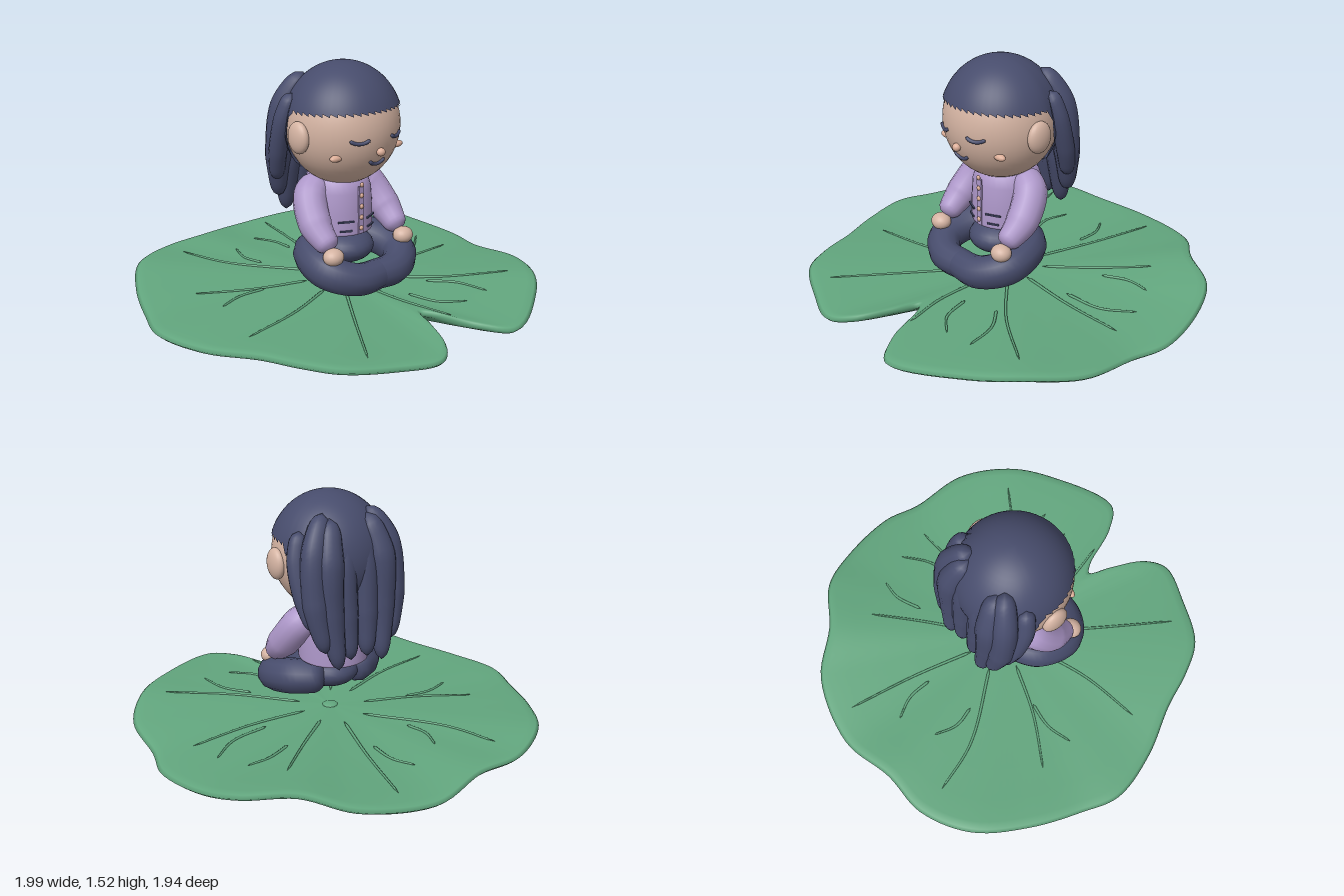
import * as THREE from 'three';
import { mergeVertices } from 'three/addons/utils/BufferGeometryUtils.js';

const mat = (name, color) => Object.assign(new THREE.MeshStandardMaterial({ color }), { name });
const M = {
  leaf: mat('leaf green', 0x62a67e),
  navy: mat('navy', 0x474c6c),
  lilac: mat('lilac', 0xae98ca),
  skin: mat('skin', 0xd4b3a2),
  peach: mat('peach', 0xdcae98),
};
M.navy.side = THREE.DoubleSide;

const V = (x, y, z) => new THREE.Vector3(x, y, z);

function add(parent, name, geometry, material) {
  const mesh = new THREE.Mesh(geometry, material);
  mesh.name = name;
  parent.add(mesh);
  return mesh;
}

function smooth(g) {
  g.deleteAttribute('uv');
  g.deleteAttribute('normal');
  g = mergeVertices(g, 1e-5);
  g.computeVertexNormals();
  return g;
}

// Rounded tube through [x, y, z, radius] points; cap = share of the length rounded off at each end
function sweep(pts, cap = 0.12, segs = 28, sides = 14) {
  const curve = new THREE.CatmullRomCurve3(pts.map(p => V(p[0], p[1], p[2])));
  const g = new THREE.TubeGeometry(curve, segs, 1, sides);
  const pos = g.attributes.position, v = V(0, 0, 0);
  for (let i = 0; i <= segs; i++) {
    const u = i / segs, c = curve.getPointAt(u);
    const k = curve.getUtoTmapping(u) * (pts.length - 1);
    const a = Math.min(Math.floor(k), pts.length - 2);
    const e = Math.min(1, Math.min(u, 1 - u) / cap);
    const r = THREE.MathUtils.lerp(pts[a][3], pts[a + 1][3], k - a) * Math.sqrt(Math.max(0, 1 - (1 - e) ** 2));
    for (let j = 0; j <= sides; j++) {
      const n = i * (sides + 1) + j;
      v.fromBufferAttribute(pos, n).sub(c).multiplyScalar(r).add(c);
      pos.setXYZ(n, v.x, v.y, v.z);
    }
  }
  return smooth(g);
}

function ball(parent, name, material, [x, y, z], [rx, ry, rz], seg = 24) {
  const m = add(parent, name, new THREE.SphereGeometry(1, seg, Math.ceil(seg * 0.7)), material);
  m.position.set(x, y, z);
  m.scale.set(rx, ry, rz);
  return m;
}

// Leaf rim as [x, z, height]
const CX = 0.02, CZ = 0.03, TOP = 0.405;
const RIM = [
  [0.99, -0.08, 0.37], [0.955, 0.11, 0.37], [0.94, 0.4, 0.4], [0.8, 0.64, 0.43], [0.62, 0.8, 0.42], [0.28, 0.965, 0.4],
  [0.165, 0.855, 0.41], [0.07, 0.64, 0.42], [0.03, 0.6, 0.42], [-0.02, 0.72, 0.42], [-0.1, 0.89, 0.41], [-0.2, 0.96, 0.4],
  [-0.4, 0.9, 0.41], [-0.62, 0.79, 0.43], [-0.72, 0.64, 0.43], [-0.8, 0.45, 0.42], [-0.93, 0.21, 0.4], [-1, -0.05, 0.4],
  [-0.945, -0.25, 0.4], [-0.85, -0.5, 0.42], [-0.69, -0.75, 0.44], [-0.45, -0.89, 0.42], [-0.21, -0.91, 0.42],
  [0.08, -0.98, 0.39], [0.43, -0.89, 0.42], [0.62, -0.7, 0.455], [0.83, -0.56, 0.44], [0.93, -0.37, 0.4],
];
const N = 196;
const rim = new THREE.CatmullRomCurve3(RIM.map(([x, z, h]) => V(x, h, z)), true).getPoints(N).slice(0, N);

function leafTop(x, z) {
  const a = Math.atan2(z - CZ, x - CX);
  let best = 9, y = TOP;
  for (const p of rim) {
    let d = Math.abs(Math.atan2(p.z - CZ, p.x - CX) - a);
    d = Math.min(d, Math.PI * 2 - d);
    if (d < best) {
      best = d;
      y = TOP + (p.y - TOP) * (Math.hypot(x - CX, z - CZ) / Math.hypot(p.x - CX, p.z - CZ)) ** 2;
    }
  }
  return y;
}

// Closed lens of scaled rims: across the top, round the edge, back underneath
function leafGeometry() {
  const profile = [[0.001, 0], [0.25, 0], [0.5, 0], [0.7, 0], [0.85, 0], [0.95, 0], [0.985, -0.005], [1, -0.018],
    [0.985, -0.033], [0.93, -0.042], [0.8, -0.058], [0.6, -0.08], [0.4, -0.1], [0.25, -0.108], [0.001, -0.11]];
  const pos = [], index = [];
  profile.forEach(([f, dy], i) => rim.forEach((p, j) => {
    pos.push(CX + (p.x - CX) * f, TOP + (p.y - TOP) * f * f + dy, CZ + (p.z - CZ) * f);
    if (i === profile.length - 1) return;
    const k = (j + 1) % N, a = i * N + j, b = i * N + k;
    index.push(a, b + N, a + N, a, b, b + N);
  }));
  const g = new THREE.BufferGeometry();
  g.setAttribute('position', new THREE.Float32BufferAttribute(pos, 3));
  g.setIndex(index);
  g.computeVertexNormals();
  return g;
}

function buildLeaf(root) {
  const leaf = new THREE.Group();
  leaf.name = 'lilyPad';
  root.add(leaf);
  add(leaf, 'pad', leafGeometry(), M.leaf);
  add(leaf, 'stem', sweep([[-0.085, 0, -0.03, 0.026], [-0.06, 0.12, -0.01, 0.032], [-0.02, 0.235, 0.01, 0.042],
    [0, 0.265, 0.02, 0.024], [0.02, 0.34, 0.03, 0.055]], 0.02), M.leaf);
  ball(leaf, 'padCentre', M.leaf, [CX, TOP, CZ], [0.04, 0.012, 0.04], 12);
  // Veins: start, middle, end as x, z pairs
  const veins = [
    [0.06, -0.17, 0.14, -0.5, 0.2, -0.85], [-0.06, -0.15, -0.33, -0.48, -0.43, -0.74], [0.15, -0.1, 0.35, -0.28, 0.55, -0.48],
    [-0.14, -0.04, -0.4, -0.13, -0.66, -0.27], [-0.14, 0.1, -0.42, 0.21, -0.72, 0.27], [-0.06, 0.16, -0.26, 0.46, -0.46, 0.77],
    [0.04, 0.2, 0.06, 0.48, 0.12, 0.71], [0.14, 0.13, 0.4, 0.37, 0.7, 0.56], [0.17, 0.03, 0.48, 0.05, 0.78, 0.03],
    [0.41, -0.01, 0.6, -0.04, 0.74, -0.15], [0.42, -0.25, 0.55, -0.31, 0.66, -0.31], [0.31, 0.35, 0.41, 0.47, 0.45, 0.63],
    [0.14, 0.4, 0.19, 0.55, 0.3, 0.64], [-0.18, -0.37, -0.21, -0.48, -0.18, -0.6], [0.07, -0.45, 0.06, -0.58, 0, -0.69],
    [-0.36, -0.1, -0.5, -0.11, -0.63, -0.07],
  ];
  for (const [a, b, c, d, e, f] of veins) {
    const flat = new THREE.CatmullRomCurve3([V(a, 0, b), V(c, 0, d), V(e, 0, f)]).getPoints(8);
    add(leaf, 'vein', sweep(flat.map((p, i) => [p.x, leafTop(p.x, p.z) + 0.002, p.z, 0.008 - i * 0.0004]), 0.05, 16, 6), M.leaf);
  }
}

// Head ellipsoid, shared by the face and the hair
const HY = 1.22, HZ = 0.055, R = [0.277, 0.29, 0.275];
const onFace = (x, y, out = 0) =>
  V(x, y, HZ + out + R[2] * Math.sqrt(1 - (x / R[0]) ** 2 - ((y - HY) / R[1]) ** 2));

function faceLine(head, name, x, y, half, dip) {
  const pts = [-1, -0.5, 0, 0.5, 1].map(t => onFace(x + t * half, y + dip * (t * t - 0.5), 0.002));
  add(head, name, sweep(pts.map(p => [p.x, p.y, p.z, 0.009]), 0.1, 16, 8), M.navy);
}

function buildHead(figure) {
  const head = new THREE.Group();
  head.name = 'head';
  figure.add(head);
  ball(head, 'skull', M.skin, [0, HY, HZ], R, 40);
  for (const s of [-1, 1]) {
    ball(head, 'ear', M.skin, [s * 0.28, 1.2, 0.07], [0.036, 0.077, 0.066]);
    faceLine(head, 'closedEye', s * 0.11, 1.198, 0.046, 0.016);
    const c = onFace(s * 0.19, 1.12);
    ball(head, 'cheek', M.peach, c.toArray(), [0.036, 0.017, 0.02], 14);
  }
  ball(head, 'nose', M.peach, onFace(0, 1.137, 0.008).toArray(), [0.022, 0.02, 0.02], 14);
  faceLine(head, 'smile', 0, 1.084, 0.047, 0.022);

  // Hair cap: straight fringe in front, reaching low at the back
  const g = new THREE.SphereGeometry(1, 48, 24);
  const pos = g.attributes.position;
  for (let i = 0; i < pos.count; i++) {
    const theta = Math.acos(THREE.MathUtils.clamp(pos.getY(i), -1, 1));
    const phi = Math.atan2(pos.getZ(i), pos.getX(i));
    const back = THREE.MathUtils.smoothstep(-Math.sin(phi), 0.15, 0.6);
    const t = theta / Math.PI * (1.29 - 0.05 * Math.max(0, Math.sin(phi)) + 1.1 * back);
    pos.setXYZ(i, Math.cos(phi) * Math.sin(t) * 0.288, HY + Math.cos(t) * 0.302, HZ + Math.sin(phi) * Math.sin(t) * 0.287);
  }
  add(head, 'hairCap', smooth(g), M.navy);

  // Long locks down the back
  for (const s of [-1, 1]) {
    add(head, 'sideLock', sweep([[s * 0.22, 1.38, -0.05, 0.04], [s * 0.255, 1.25, -0.08, 0.045], [s * 0.25, 1.08, -0.13, 0.045],
      [s * 0.22, 0.93, -0.18, 0.035]]), M.navy);
    add(head, 'backLock', sweep([[s * 0.12, 1.46, -0.09, 0.045], [s * 0.2, 1.3, -0.15, 0.06], [s * 0.21, 1.05, -0.18, 0.065],
      [s * 0.18, 0.82, -0.22, 0.035]]), M.navy);
    add(head, 'backLock', sweep([[s * 0.1, 1.44, -0.12, 0.05], [s * 0.14, 1.25, -0.185, 0.07], [s * 0.14, 1, -0.2, 0.065],
      [s * 0.12, 0.73, -0.24, 0.035]]), M.navy);
    add(head, 'innerLock', sweep([[s * 0.03, 1.42, -0.12, 0.05], [s * 0.055, 1.22, -0.175, 0.06], [s * 0.055, 0.98, -0.195, 0.06],
      [s * 0.045, 0.76, -0.225, 0.035]]), M.navy);
  }
}

function buildBody(figure) {
  const body = new THREE.Group();
  body.name = 'body';
  figure.add(body);
  // Jacket
  const profile = [[0.001, 0.69], [0.165, 0.69], [0.172, 0.692], [0.173, 0.7], [0.172, 0.8], [0.165, 0.9], [0.145, 0.96], [0.1, 0.99], [0.001, 1]];
  const jacket = add(body, 'jacket', new THREE.LatheGeometry(profile.map(p => new THREE.Vector2(...p)), 36), M.lilac);
  jacket.scale.z = 1.03;
  jacket.position.z = 0.015;
  add(body, 'placket', new THREE.BoxGeometry(0.03, 0.24, 0.009), M.lilac).position.set(0, 0.815, 0.192);
  for (let i = 0; i < 5; i++) ball(body, 'button', M.peach, [0, 0.725 + i * 0.055, 0.198], [0.012, 0.012, 0.008], 10);

  for (const s of [-1, 1]) {
    for (const [y, w] of [[0.765, 0.08], [0.718, 0.06]]) {
      const line = add(body, 'pocketTrim', new THREE.BoxGeometry(w, 0.008, 0.008), M.navy);
      line.position.set(s * 0.078, y, 0.176);
      line.rotation.y = s * 0.45;
    }
    add(body, 'sleeve', sweep([[s * 0.1, 0.94, 0.01, 0.07], [s * 0.18, 0.89, 0.03, 0.083], [s * 0.222, 0.77, 0.12, 0.08],
      [s * 0.218, 0.675, 0.235, 0.05]], 0.1), M.lilac);
    ball(body, 'hand', M.skin, [s * 0.225, 0.65, 0.255], [0.052, 0.042, 0.048]);
    // Folded leg: hip, knee, shin across the front
    add(body, 'leg', sweep([[s * 0.07, 0.605, -0.04, 0.08], [s * 0.2, 0.6, 0.06, 0.09], [s * 0.225, 0.56, 0.22, 0.088],
      [s * 0.12, 0.525, 0.31, 0.08], [s * -0.08, 0.525, 0.31, 0.07]], 0.1, 36, 12), M.navy);
  }
  ball(body, 'pelvis', M.navy, [0, 0.605, 0.06], [0.15, 0.085, 0.16]);
}

export function createModel() {
  const root = new THREE.Group();
  root.name = 'meditatingFigureOnLilyPad';
  buildLeaf(root);
  const figure = new THREE.Group();
  figure.name = 'figure';
  figure.position.x = 0.01;
  root.add(figure);
  buildHead(figure);
  buildBody(figure);
  return root;
}
